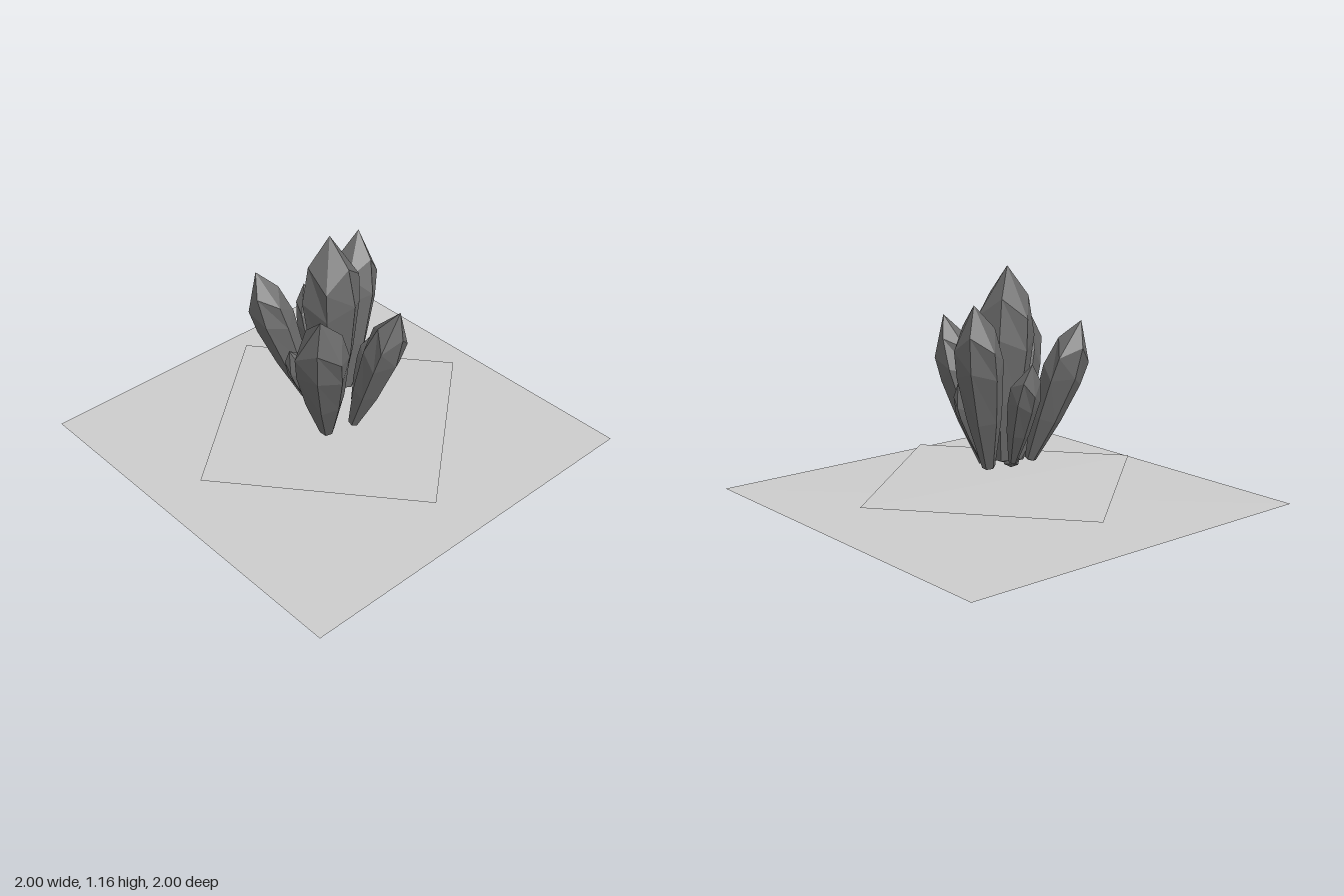
import * as THREE from 'three';

const SIDES = 6;

// Small seeded generator, 0..1
function seeded(seed) {
  let s = seed * 7919 + 17;
  return () => (s = (s * 16807) % 2147483647) / 2147483647;
}

// Faceted shard: narrow foot, wide upper body, pointed tip with a zigzag shoulder
function crystalGeometry(length, radius, seed) {
  const rand = seeded(seed);
  rand();
  const profile = [[0, 0], [0.28, 0.015], [0.74, 0.32], [1, 0.62], [0.88, 0.8], [0, 1]]
    .map(([r, t]) => new THREE.Vector2(r * radius, t * length));
  const geo = new THREE.LatheGeometry(profile, SIDES, rand() * Math.PI);
  const scale = Array.from({ length: SIDES }, () => 0.94 + rand() * 0.14);
  const pos = geo.attributes.position;
  const n = profile.length;
  for (let i = 0; i < pos.count; i++) {
    const side = Math.floor(i / n) % SIDES, ring = i % n;
    const zig = side % 2 ? 1 : -1;
    let k = scale[side], y = pos.getY(i);
    if (ring === 3) y += zig * 0.03 * length;
    if (ring === 4) {
      y += zig * 0.05 * length;
      k *= 1 - zig * 0.14;
    }
    pos.setXYZ(i, pos.getX(i) * k, y, pos.getZ(i) * k);
  }
  const flat = geo.toNonIndexed();
  flat.computeVertexNormals();
  return flat;
}

export function createModel() {
  const model = new THREE.Group();
  const stone = new THREE.MeshStandardMaterial({ color: 0xcccccc, side: THREE.DoubleSide });
  const crystalMat = new THREE.MeshStandardMaterial({ color: 0x6a6a6a, flatShading: true });

  // Flat ground sheet
  const ground = new THREE.Mesh(new THREE.PlaneGeometry(2, 2).rotateX(-Math.PI / 2), stone);
  ground.name = 'groundSheet';
  model.add(ground);

  // Smaller turned sheet floating just above
  const upper = new THREE.Mesh(new THREE.PlaneGeometry(1.137, 1.137).rotateX(-Math.PI / 2), stone);
  upper.name = 'upperSheet';
  upper.position.y = 0.085;
  upper.rotation.y = Math.atan2(0.72, 0.88);
  model.add(upper);

  // Crystals: name, foot, tip, radius
  const cluster = new THREE.Group();
  cluster.name = 'crystalCluster';
  const crystals = [
    ['mainCrystal', [-0.01, 0.18, -0.01], [-0.02, 1.16, 0.01], 0.145],
    ['frontLeftCrystal', [0.08, 0.11, 0.12], [0.28, 0.97, 0.34], 0.125],
    ['backRightCrystal', [-0.06, 0.18, -0.14], [-0.15, 1.015, -0.3], 0.12],
    ['leftCrystal', [0.14, 0.135, 0], [0.37, 0.88, -0.08], 0.1],
    ['frontRightCrystal', [-0.12, 0.2, 0.07], [-0.32, 0.91, 0.22], 0.105],
    ['rightCrystal', [-0.11, 0.2, -0.03], [-0.3, 0.73, -0.07], 0.075],
    ['smallFrontCrystal', [-0.03, 0.18, 0.08], [-0.07, 0.58, 0.23], 0.062],
    ['smallBackCrystal', [0.06, 0.19, -0.08], [0.1, 0.59, -0.2], 0.058],
  ];
  const up = new THREE.Vector3(0, 1, 0);
  crystals.forEach(([name, foot, tip, radius], i) => {
    const base = new THREE.Vector3(...foot);
    const axis = new THREE.Vector3(...tip).sub(base);
    const mesh = new THREE.Mesh(crystalGeometry(axis.length(), radius, i + 1), crystalMat);
    mesh.name = name;
    mesh.position.copy(base);
    mesh.quaternion.setFromUnitVectors(up, axis.normalize());
    cluster.add(mesh);
  });
  model.add(cluster);
  return model;
}
